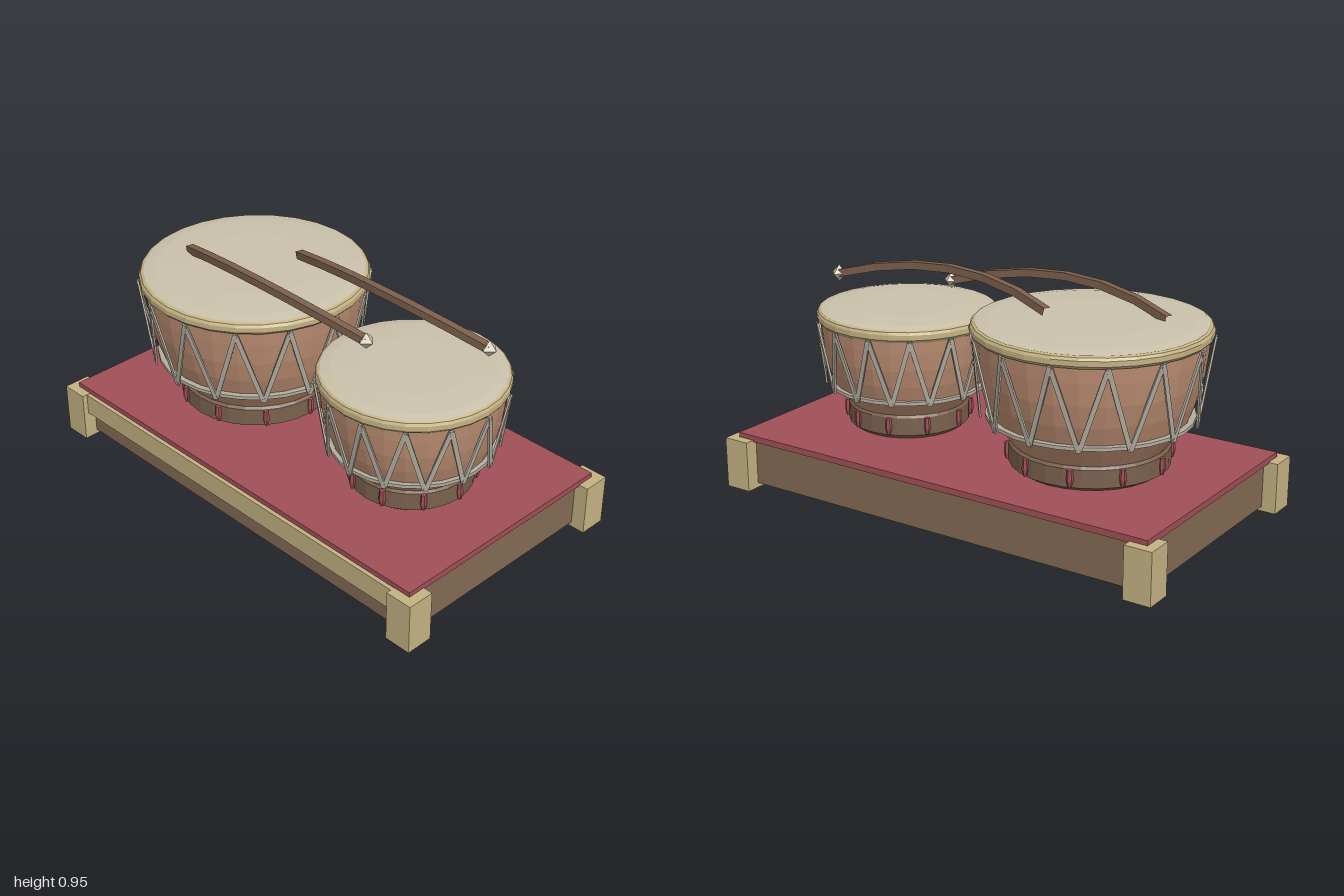
import * as THREE from 'three';

const paint = (color, extra = {}) =>
  new THREE.MeshStandardMaterial({ color, flatShading: true, ...extra });
const WOOD = paint(0x836a53), GOLD = paint(0xc4b283), RED = paint(0xa04f56);
const COPPER = paint(0xb98b70), DARK = paint(0x7a614e), CORD = paint(0xb3ad9e);
const SKIN = paint(0xcac1ab, { side: THREE.DoubleSide }), STICK = paint(0x7b5f4c);
const SIDES = 28;

function add(parent, name, geometry, material, x = 0, y = 0, z = 0) {
  const mesh = new THREE.Mesh(geometry, material);
  mesh.name = name;
  mesh.position.set(x, y, z);
  parent.add(mesh);
  return mesh;
}

const box = (w, h, d) => new THREE.BoxGeometry(w, h, d);

function lathe(points, sides = SIDES) {
  return new THREE.LatheGeometry(points.map(([r, y]) => new THREE.Vector2(r, y)), sides);
}

// Point on a circle around the drum axis
const polar = (r, y, a) => new THREE.Vector3(r * Math.cos(a), y, r * Math.sin(a));

// Flat strap between two points, its broad face turned outwards
function addStrap(parent, a, b) {
  const along = b.clone().sub(a);
  const length = along.length();
  along.normalize();
  const mid = a.clone().add(b).multiplyScalar(0.5);
  const out = new THREE.Vector3(mid.x, 0, mid.z);
  out.addScaledVector(along, -out.dot(along)).normalize();
  const across = new THREE.Vector3().crossVectors(along, out);
  const strap = add(parent, 'lacing', box(0.019, length, 0.008), CORD, mid.x, mid.y, mid.z);
  strap.quaternion.setFromRotationMatrix(new THREE.Matrix4().makeBasis(across, along, out));
}

// r: hoop radius, top: hoop underside, ring: height of the lower lacing ring, foot: base radius
function createDrum(name, x, { r, top, ring, foot }) {
  const drum = new THREE.Group();
  drum.name = name;
  drum.position.x = x;
  const h = top - ring;

  add(drum, 'base', lathe([
    [0, 0.232], [foot * 0.9, 0.232], [foot, 0.252], [foot, 0.325], [foot * 0.97, 0.336], [0, 0.336],
  ]), DARK);
  add(drum, 'shell', lathe([
    [foot * 0.96, 0.332], [r * 0.82, ring], [r * 0.885, ring + h * 0.25],
    [r * 0.93, ring + h * 0.52], [r * 0.955, ring + h * 0.8], [r * 0.965, top + 0.005],
  ]), COPPER);
  add(drum, 'hoop', lathe([
    [r * 0.94, top - 0.01], [r * 0.975, top - 0.008], [r, top + 0.004], [r, top + 0.025],
    [r * 0.985, top + 0.036], [r * 0.96, top + 0.041],
  ]), GOLD);
  add(drum, 'drumhead', lathe([
    [r * 0.975, top + 0.038], [r * 0.86, top + 0.047], [r * 0.55, top + 0.055], [0, top + 0.057],
  ]), SKIN);

  // Lower ring and zigzag lacing
  const inner = r * 0.8, outer = r * 0.875;
  add(drum, 'lacingRing', lathe([
    [inner, ring - 0.007], [outer, ring - 0.007], [outer, ring + 0.007],
    [inner, ring + 0.007], [inner, ring - 0.007],
  ]), CORD);
  const count = 14, step = (Math.PI * 2) / count;
  for (let i = 0; i < count; i++) {
    const upper = polar(r + 0.005, top - 0.002, i * step);
    for (const side of [-0.5, 0.5]) {
      addStrap(drum, polar(r * 0.915, ring - 0.005, (i + side) * step), upper);
    }
  }

  // Pegs around the base
  const pegShape = lathe([[0, 0.253], [0.007, 0.255], [0.014, 0.282], [0.011, 0.325], [0, 0.327]], 6);
  for (let i = 0; i < 10; i++) {
    const p = polar(foot + 0.004, 0, (i * Math.PI) / 5);
    add(drum, 'peg', pegShape, RED, p.x, 0, p.z);
  }
  return drum;
}

// Bowed square stick with a faceted head, leaning in a plane tilted 45 degrees
function createMallet(name, x, y, z) {
  const mallet = new THREE.Group();
  mallet.name = name;
  mallet.position.set(x, y, z);
  const half = 0.503, width = 0.022;
  const bow = new THREE.QuadraticBezierCurve3(
    new THREE.Vector3(-half, 0, 0), new THREE.Vector3(0, 0.216, 0), new THREE.Vector3(half, 0, 0));
  const stick = new THREE.Group();
  stick.name = 'stick';
  stick.rotation.x = Math.PI / 4;
  mallet.add(stick);
  add(stick, 'shaft', new THREE.TubeGeometry(bow, 6, width, 4), STICK);
  const cap = add(stick, 'shaftEnd', new THREE.CircleGeometry(width, 4), STICK, -half, 0, 0);
  cap.quaternion.setFromRotationMatrix(new THREE.Matrix4().makeBasis(
    new THREE.Vector3(0, 0, 1),
    bow.getTangent(0).cross(new THREE.Vector3(0, 0, -1)).negate(),
    bow.getTangent(0).negate()));
  add(mallet, 'head', new THREE.OctahedronGeometry(0.035), SKIN, half, 0, 0);
  return mallet;
}

export function createModel() {
  const model = new THREE.Group();
  model.name = 'kettleDrums';

  // Stand: plinth, cloth, front rail and corner posts
  add(model, 'plinth', box(1.88, 0.187, 1.0), WOOD, 0, 0.1135, 0);
  add(model, 'cloth', box(1.92, 0.026, 1.036), RED, 0, 0.219, 0);
  add(model, 'frontRail', box(1.78, 0.09, 0.05), GOLD, 0, 0.165, 0.51);
  for (const sx of [-1, 1]) {
    for (const sz of [-1, 1]) {
      add(model, 'cornerPost', box(0.114, 0.212, 0.114), GOLD, sx * 0.943, 0.106, sz * 0.5);
    }
  }

  model.add(createDrum('largeDrum', -0.405, { r: 0.467, top: 0.773, ring: 0.442, foot: 0.317 }));
  model.add(createDrum('smallDrum', 0.477, { r: 0.371, top: 0.686, ring: 0.412, foot: 0.25 }));
  model.add(createMallet('frontMallet', -0.168, 0.832, 0.113));
  model.add(createMallet('rearMallet', 0.216, 0.86, -0.137));
  return model;
}
